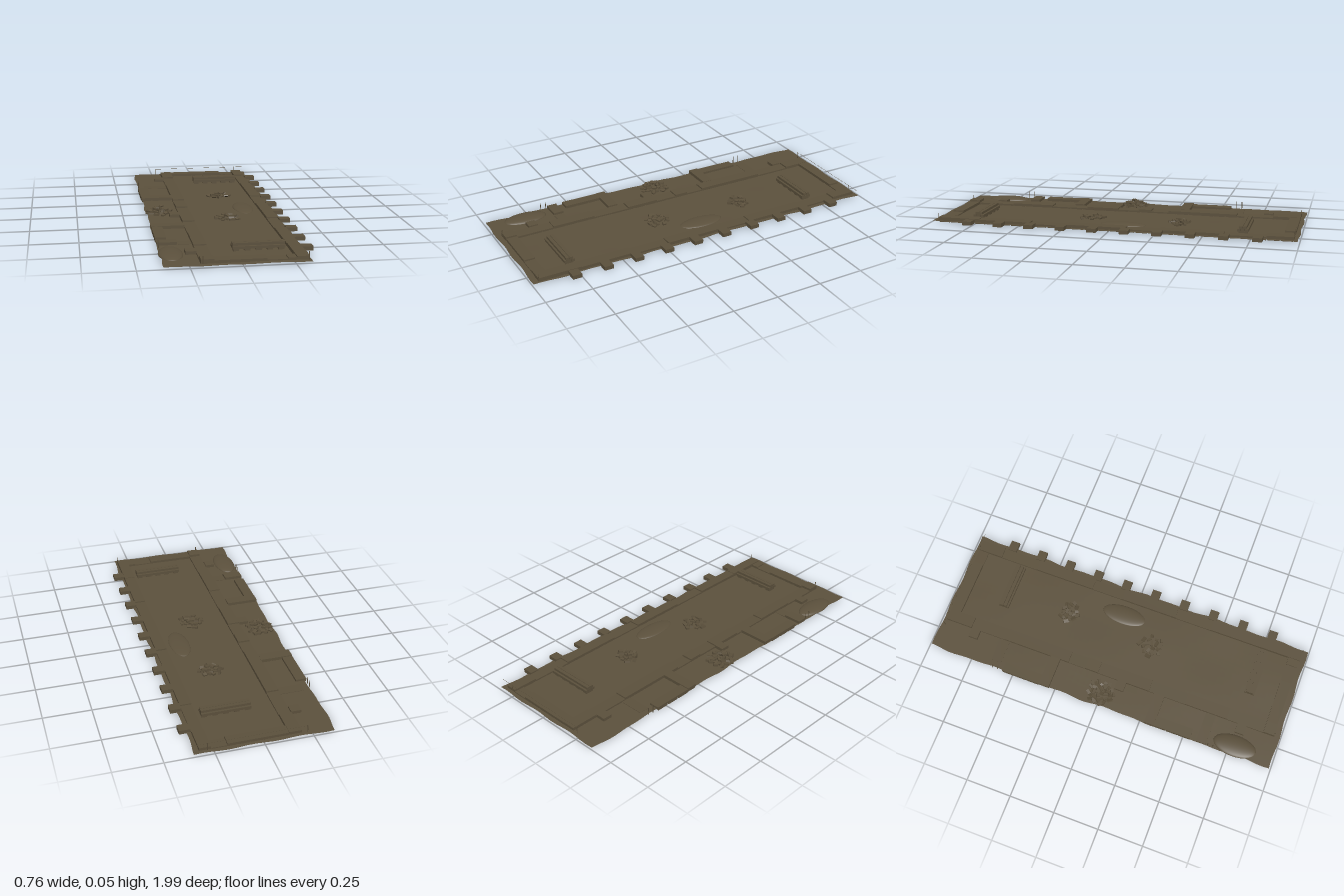
import * as THREE from 'three';

export function createModel() {
  const root = new THREE.Group();
  const mat = (name, color, side = THREE.FrontSide) => {
    const m = new THREE.MeshStandardMaterial({ color, side });
    m.name = name;
    return m;
  };
  const earth = mat('earth', 0x5b503c, THREE.DoubleSide);
  const stone = mat('stone', 0x5a4f3b);
  const damp = mat('dampUnderside', 0x2e2716);
  // Stone on every face but the underside
  const block = [stone, stone, stone, damp, stone, stone];

  let seed = 7;
  const rnd = () => (seed = (seed * 16807) % 2147483647) / 2147483647;
  const group = (name) => {
    const g = new THREE.Group();
    g.name = name;
    root.add(g);
    return g;
  };
  // Box given by its limits on each axis
  const box = (g, name, x0, x1, y0, y1, z0, z1) => {
    const b = new THREE.Mesh(new THREE.BoxGeometry(x1 - x0, y1 - y0, z1 - z0), block);
    b.position.set((x0 + x1) / 2, (y0 + y1) / 2, (z0 + z1) / 2);
    b.name = name;
    g.add(b);
  };
  // Row of separate footing blocks filling a rectangle, along its longer side
  const footing = (g, x0, x1, z0, z1) => {
    const alongX = x1 - x0 > z1 - z0;
    const [a, b] = alongX ? [x0, x1] : [z0, z1];
    const n = Math.max(1, Math.round((b - a) / 0.068));
    const step = (b - a) / n;
    for (let i = 0; i < n; i++) {
      const s = a + i * step + 0.004, e = a + (i + 1) * step - 0.004;
      if (alongX) box(g, 'footingBlock', s, e, 0, 0.0095, z0, z1);
      else box(g, 'footingBlock', x0, x1, 0, 0.0095, s, e);
    }
  };

  // Uneven sheet of earth with a ragged outline
  const geo = new THREE.PlaneGeometry(2, 2, 16, 56);
  geo.rotateX(-Math.PI / 2);
  const p = geo.attributes.position;
  for (let i = 0; i < p.count; i++) {
    const u = p.getX(i), v = p.getZ(i);
    const wave = 0.004 * Math.sin(v * 17) + 0.003 * Math.sin(v * 31 + 1);
    const left = -0.369 - 0.003 * v + wave;
    const right = 0.341 - 0.006 * v + wave * 0.8;
    const x = left + (right - left) * (u + 1) / 2;
    const z = v * 0.992 + (Math.abs(v) > 0.99 ? 0.004 * Math.sin(u * 9) : 0);
    p.setXYZ(i, x, 0.0075 + 0.001 * Math.sin(x * 14) * Math.sin(z * 9), z);
  }
  geo.computeVertexNormals();
  const ground = new THREE.Mesh(geo, earth);
  ground.name = 'ground';
  root.add(ground);

  // Long walls: footing blocks under courses of differing height
  const longWall = (name, x0, x1, segments) => {
    const g = group(name);
    footing(g, x0, x1, -0.97, 0.963);
    for (const [z0, z1, h] of segments) box(g, 'wallCourse', x0, x1, 0.0093, h, z0, z1);
  };
  longWall('westWall', -0.197, -0.132, [
    [-0.97, -0.82, 0.024], [-0.82, -0.62, 0.016], [-0.62, -0.235, 0.024], [-0.235, -0.135, 0.016],
    [-0.135, -0.06, 0.025], [-0.06, 0.06, 0.017], [0.06, 0.24, 0.024], [0.24, 0.45, 0.016],
    [0.45, 0.69, 0.023], [0.69, 0.90, 0.017], [0.90, 0.963, 0.03]]);
  longWall('eastWall', 0.262, 0.322, [
    [-0.97, -0.83, 0.024], [-0.83, -0.61, 0.016], [-0.61, -0.27, 0.022], [-0.27, -0.09, 0.016],
    [-0.09, 0.23, 0.023], [0.23, 0.44, 0.016], [0.44, 0.73, 0.023], [0.73, 0.963, 0.026]]);

  // Cross walls closing both ends
  const ends = group('endWalls');
  footing(ends, -0.132, 0.262, -0.97, -0.912);
  footing(ends, -0.132, 0.262, 0.9, 0.96);
  box(ends, 'northWall', -0.132, 0.18, 0.0093, 0.022, -0.97, -0.912);
  box(ends, 'northWallLow', 0.18, 0.262, 0.0093, 0.013, -0.97, -0.912);
  box(ends, 'southWall', -0.132, 0.12, 0.0093, 0.022, 0.9, 0.96);
  box(ends, 'southWallLow', 0.12, 0.22, 0.0093, 0.014, 0.9, 0.96);
  box(ends, 'southWallEnd', 0.22, 0.262, 0.0093, 0.02, 0.9, 0.96);

  // Buttresses outside both long walls
  const buttresses = group('buttresses');
  for (let i = 0; i < 10; i++) {
    const z = -0.79 + i * 0.1742;
    box(buttresses, 'eastButtress', 0.322, 0.38, 0.002, 0.023, z - 0.025, z + 0.025);
  }
  for (const z of [-0.79, 0.083, 0.78])
    box(buttresses, 'westButtress', -0.25, -0.197, 0, 0.024, z - 0.026, z + 0.026);

  // Remains of side rooms, some standing and some worn level with the ground
  const rooms = group('sideRooms');
  for (const [x0, x1, z0, z1, h] of [
    [-0.372, -0.197, -0.34, -0.283, 0.025], [-0.372, -0.197, 0.276, 0.332, 0.024],
    [-0.372, -0.27, 0.575, 0.63, 0.022], [-0.27, -0.197, 0.575, 0.63, 0.01],
    [-0.372, -0.315, -0.56, -0.34, 0.02], [-0.372, -0.315, 0.332, 0.54, 0.022],
    [-0.33, -0.197, -0.643, -0.587, 0.01]]) {
    footing(rooms, x0, x1, z0, z1);
    box(rooms, 'roomWall', x0, x1, 0.0093, h, z0, z1);
  }

  // Stacks of long beams on bearers
  for (const z of [-0.7, 0.76]) {
    const stack = group('beamStack');
    for (let i = 0; i < 5; i++) {
      const x = 0.0 + i * 0.0563;
      box(stack, 'bearer', x - 0.014, x + 0.014, 0.004, 0.021, z - 0.022, z + 0.022);
    }
    for (let i = 0; i < 3; i++) {
      const c = z - 0.02 + i * 0.02;
      box(stack, 'lowerBeam', -0.018, 0.243, 0.019, 0.033, c - 0.009, c + 0.009);
      if (i < 2) box(stack, 'upperBeam', -0.018, 0.243, 0.034, 0.047, c + 0.001, c + 0.019);
    }
  }

  // Low smooth heaps of soil with a damp base
  const heap = (x, z, rx, rz, h) => {
    const g = group('soilHeap');
    const dome = new THREE.Mesh(new THREE.SphereGeometry(1, 28, 10, 0, Math.PI * 2, 0, Math.PI / 2), earth);
    dome.scale.set(rx, h, rz);
    dome.position.set(x, 0.0065, z);
    dome.name = 'heapTop';
    const base = new THREE.Mesh(new THREE.CircleGeometry(1, 28), damp);
    base.rotation.x = Math.PI / 2;
    base.scale.set(rx, rz, 1);
    base.position.set(x, 0.004, z);
    base.name = 'heapBase';
    g.add(dome, base);
  };
  heap(0.18, -0.045, 0.055, 0.125, 0.012);
  heap(-0.32, 0.78, 0.06, 0.12, 0.018);

  // Scattered rubble, piled towards the middle
  const rubble = (cx, cz, rx, rz, height, count) => {
    const g = group('rubble');
    for (let i = 0; i < count; i++) {
      const a = i * 2.4, r = Math.sqrt((i + 0.5) / count);
      const w = 0.011 + rnd() * 0.008, h = 0.007 + rnd() * 0.006, d = 0.016 + rnd() * 0.016;
      const b = new THREE.Mesh(new THREE.BoxGeometry(w, h, d), block);
      b.position.set(cx + rx * r * Math.cos(a), 0.012 + height * (1 - r) * rnd(), cz + rz * r * Math.sin(a));
      b.rotation.set((rnd() - 0.5) * 0.5, rnd() * Math.PI, (rnd() - 0.5) * 0.5);
      b.name = 'rubbleStone';
      g.add(b);
    }
  };
  rubble(0.085, -0.34, 0.062, 0.052, 0.03, 22);
  rubble(0.06, 0.16, 0.065, 0.072, 0.012, 18);
  rubble(-0.295, -0.005, 0.07, 0.075, 0.045, 34);

  // Survey stakes and string
  const survey = group('surveyMarkers');
  const stakes = [[-0.367, 0.64], [-0.367, 0.67], [-0.367, -0.59], [-0.367, -0.62],
    [-0.227, -0.97], [0.28, -0.97], [0.32, 0.962], [-0.187, 0.962]];
  for (const [x, z] of stakes) {
    const s = new THREE.Mesh(new THREE.CylinderGeometry(0.002, 0.002, 0.043, 6), stone);
    s.position.set(x, 0.0265, z);
    s.name = 'stake';
    survey.add(s);
  }
  box(survey, 'string', -0.227, 0.358, 0.0445, 0.0455, -0.9705, -0.9695);
  return root;
}
